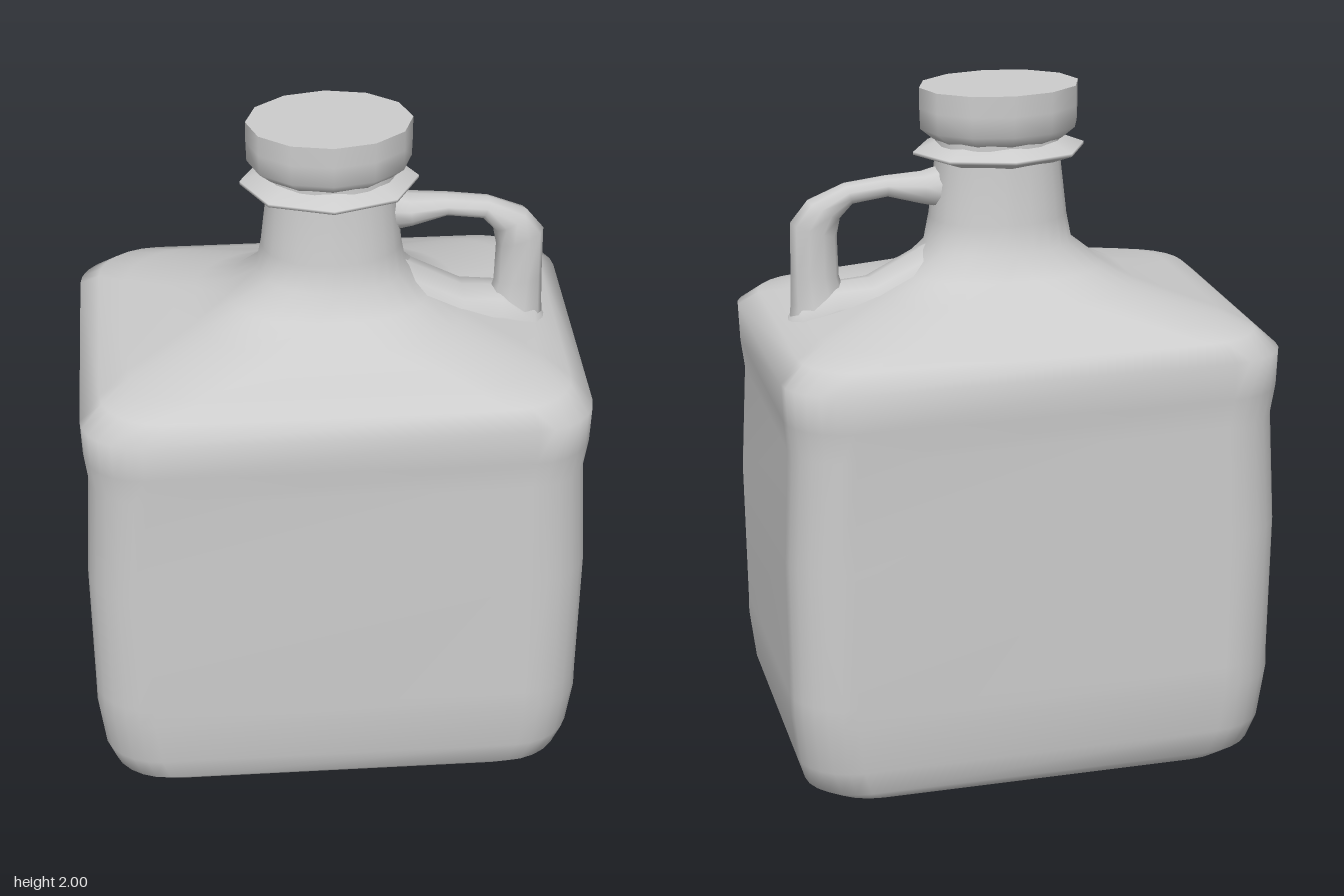
import * as THREE from 'three';

// Skin a list of equal-length closed rings of Vector3; a repeated ring makes a sharp edge
function skin(rings) {
  const n = rings[0].length, index = [];
  for (let i = 0; i < rings.length - 1; i++) {
    for (let j = 0; j < n; j++) {
      const a = i * n + j, b = i * n + (j + 1) % n;
      index.push(a, a + n, b, b, a + n, b + n);
    }
  }
  const geo = new THREE.BufferGeometry().setFromPoints(rings.flat());
  geo.setIndex(index);
  geo.computeVertexNormals();
  return geo;
}

// Horizontal rounded rectangle: half sizes hx, hz and corner radii rx, rz
function roundedRing([y, hx, hz, rx, rz, cx = 0]) {
  const pts = [], steps = 6;
  for (let q = 0; q < 4; q++) {
    const sx = q === 0 || q === 3 ? 1 : -1, sz = q < 2 ? 1 : -1;
    for (let k = 0; k <= steps; k++) {
      const t = (q + k / steps) * Math.PI / 2;
      pts.push(new THREE.Vector3(
        cx + sx * (hx - rx) + Math.cos(t) * rx, y, sz * (hz - rz) + Math.sin(t) * rz));
    }
  }
  return pts;
}

// Elliptical ring spanning an outer and an inner point of a handle profile
function handleRing([ox, oy, ix, iy, w]) {
  const pts = [], n = 10;
  for (let k = 0; k < n; k++) {
    const t = k / n * Math.PI * 2, c = Math.cos(t) / 2;
    pts.push(new THREE.Vector3(
      (ox + ix) / 2 + c * (ox - ix), (oy + iy) / 2 + c * (oy - iy), -Math.sin(t) * w));
  }
  return pts;
}

// Oval turned part
function turned(profile, sides, depth) {
  const geo = new THREE.LatheGeometry(profile.map(([r, y]) => new THREE.Vector2(r, y)), sides);
  geo.scale(1, 1, depth);
  geo.translate(0.005, 0, 0);
  return geo;
}

export function createModel() {
  const group = new THREE.Group();
  const plastic = new THREE.MeshStandardMaterial({ color: 0xcccccc });
  plastic.name = 'greyPlastic';
  const add = (name, geo) => {
    const mesh = new THREE.Mesh(geo, plastic);
    mesh.name = name;
    group.add(mesh);
  };

  // Jug body, shoulders and neck: y, half width, half depth, corner radii, x offset
  add('jugBody', skin([
    [0.005, 0.001, 0.001, 0.0005, 0.0005],
    [0.005, 0.63, 0.45, 0.16, 0.14],
    [0.005, 0.63, 0.45, 0.16, 0.14],
    [0.04, 0.68, 0.485, 0.17, 0.15],
    [0.12, 0.705, 0.505, 0.17, 0.15],
    [0.27, 0.722, 0.518, 0.17, 0.15],
    [0.33, 0.722, 0.515, 0.17, 0.15],
    [0.75, 0.725, 0.52, 0.17, 0.15],
    [1.08, 0.708, 0.512, 0.17, 0.15],
    [1.17, 0.718, 0.523, 0.17, 0.15],
    [1.28, 0.722, 0.523, 0.17, 0.15],
    [1.33, 0.665, 0.485, 0.18, 0.16],
    [1.36, 0.585, 0.42, 0.21, 0.18],
    [1.42, 0.38, 0.29, 0.24, 0.2],
    [1.47, 0.29, 0.22, 0.24, 0.18],
    [1.54, 0.215, 0.175, 0.2, 0.16, 0.01],
    [1.62, 0.2, 0.158, 0.185, 0.145, 0.01],
    [1.8, 0.18, 0.14, 0.167, 0.13, 0.01],
    [1.86, 0.18, 0.14, 0.167, 0.13, 0.01],
  ].map(roundedRing)));

  // Collar below the cap
  add('neckCollar', turned(
    [[0.16, 1.775], [0.19, 1.785], [0.253, 1.806], [0.253, 1.815], [0.19, 1.84], [0.16, 1.845]], 8, 0.77));

  // Cap
  add('cap', turned(
    [[0.17, 1.835], [0.195, 1.85], [0.232, 1.88], [0.234, 1.94], [0.234, 2]], 12, 0.75));
  add('capTop', turned([[0.234, 2], [0, 2]], 12, 0.75));

  // Handle: outer x, y, inner x, y, half depth
  add('handle', skin([
    [0.15, 1.78, 0.15, 1.64, 0.06],
    [0.23, 1.757, 0.24, 1.662, 0.06],
    [0.34, 1.75, 0.34, 1.69, 0.045],
    [0.46, 1.737, 0.44, 1.675, 0.04],
    [0.57, 1.692, 0.475, 1.635, 0.053],
    [0.62, 1.63, 0.485, 1.585, 0.052],
    [0.622, 1.48, 0.482, 1.465, 0.05],
    [0.625, 1.39, 0.46, 1.39, 0.065],
    [0.63, 1.32, 0.44, 1.32, 0.08],
  ].map(handleRing)));

  // Ridge joining the handle foot to the neck
  add('handleFoot', skin([
    [0.13, 1.6, 0.13, 1.36, 0.1],
    [0.25, 1.525, 0.25, 1.33, 0.12],
    [0.39, 1.452, 0.39, 1.3, 0.11],
    [0.5, 1.445, 0.5, 1.29, 0.1],
    [0.6, 1.39, 0.6, 1.28, 0.08],
    [0.635, 1.34, 0.635, 1.28, 0.04],
  ].map(handleRing)));

  return group;
}
